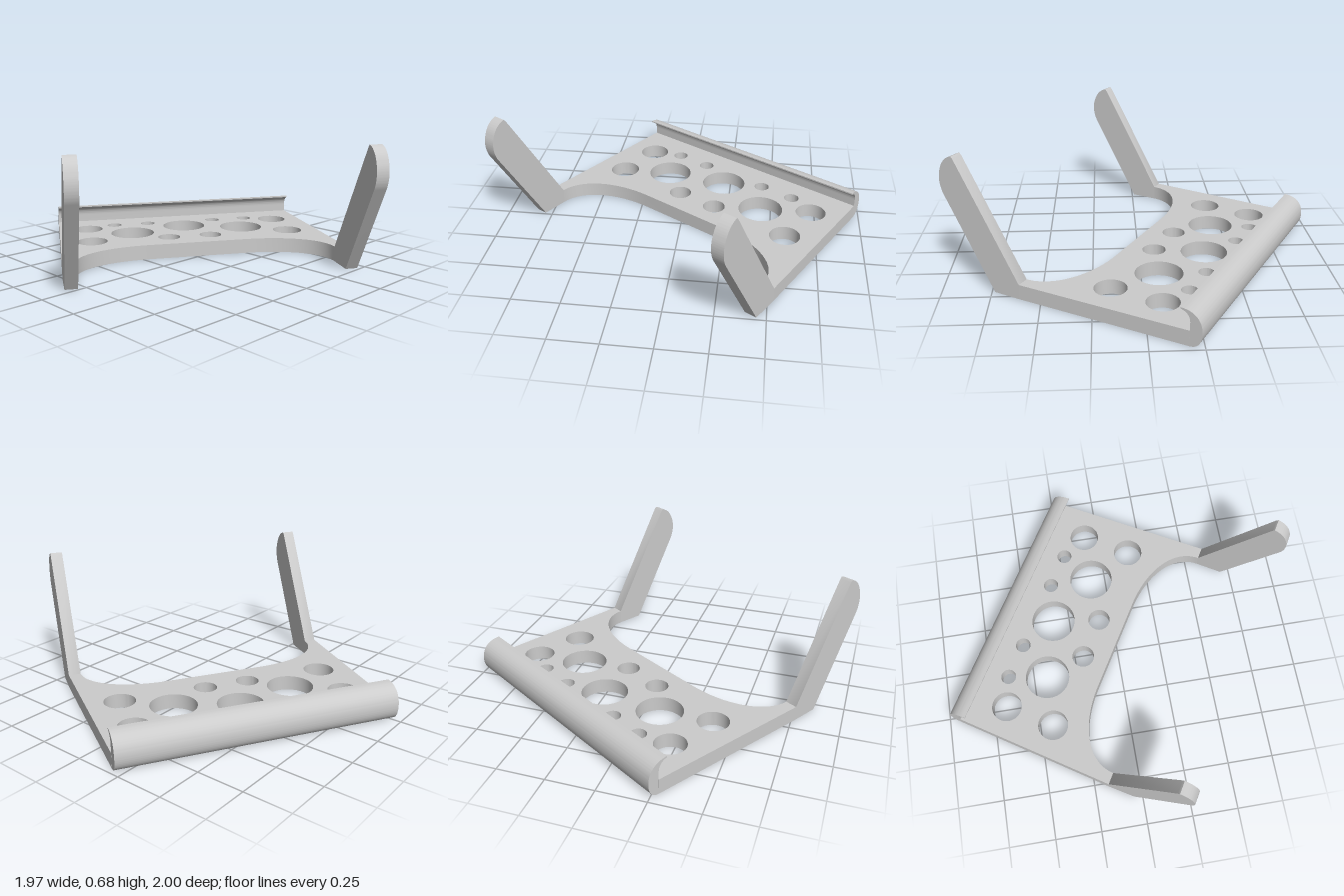
import * as THREE from 'three';
import { toCreasedNormals } from 'three/addons/utils/BufferGeometryUtils.js';

const material = new THREE.MeshStandardMaterial({ color: 0xcccccc });
const THICK = 0.08;     // plate thickness
const BACK = 0.06;      // where the plate meets the lip
const ARM_START = 0.96; // where the plate meets the arms

function extrude(name, shape, depth) {
  const geo = new THREE.ExtrudeGeometry(shape, { depth, bevelEnabled: false, curveSegments: 24 });
  const mesh = new THREE.Mesh(toCreasedNormals(geo, 0.6), material);
  mesh.name = name;
  return mesh;
}

// Flat plate with scooped front edge and round holes
function makePlate() {
  const s = new THREE.Shape();
  s.moveTo(BACK, -0.728);
  s.lineTo(ARM_START, -0.757);
  s.lineTo(ARM_START, -0.692);
  s.bezierCurveTo(0.80, -0.69, 0.70, -0.50, 0.70, -0.27);
  s.lineTo(0.70, 0.27);
  s.bezierCurveTo(0.70, 0.50, 0.80, 0.69, ARM_START, 0.692);
  s.lineTo(ARM_START, 0.757);
  s.lineTo(BACK, 0.728);
  s.closePath();
  // distance from back edge, position along it, radius
  const holes = [[0.311, 0, 0.123], [0.555, 0.104, 0.062], [0.555, -0.137, 0.062]];
  for (const side of [-1, 1]) {
    holes.push(
      [0.414, side * 0.325, 0.123],
      [0.271, side * 0.567, 0.083],
      [0.553, side * 0.569, 0.083],
      [0.208, side * 0.202, 0.042],
      [0.208, side * 0.405, 0.042]
    );
  }
  for (const [x, y, r] of holes) {
    const hole = new THREE.Path();
    hole.absarc(x, y, r, 0, Math.PI * 2, true);
    s.holes.push(hole);
  }
  const plate = extrude('plate', s, THICK);
  plate.rotation.x = -Math.PI / 2;
  return plate;
}

// Curled lip along the back edge
function makeLip() {
  const s = new THREE.Shape();
  s.moveTo(BACK, 0);
  s.bezierCurveTo(0.02, 0, 0, 0.035, 0, 0.08);
  s.bezierCurveTo(0, 0.145, 0.04, 0.185, 0.108, 0.185);
  s.lineTo(0.108, 0.178);
  s.bezierCurveTo(0.08, 0.172, BACK, 0.155, BACK, 0.12);
  s.closePath();
  const lip = extrude('backLip', s, 1.455);
  lip.position.z = -1.455 / 2;
  return lip;
}

// Slanted arm with a rounded tip
function makeArm(side) {
  const s = new THREE.Shape();
  s.moveTo(ARM_START, 0);
  s.lineTo(1.11, 0);
  s.lineTo(1.383, 0.47);
  s.bezierCurveTo(1.41, 0.515, 1.41, 0.57, 1.395, 0.605);
  s.bezierCurveTo(1.38, 0.65, 1.35, 0.675, 1.318, 0.682);
  s.lineTo(1.308, 0.672);
  s.lineTo(ARM_START, THICK);
  s.closePath();
  const arm = extrude(side > 0 ? 'frontArm' : 'rearArm', s, 0.065);
  arm.position.z = side * 0.7245 - 0.0325;
  return arm;
}

export function createModel() {
  const model = new THREE.Group();
  model.name = 'bracket';
  const body = new THREE.Group();
  body.name = 'bracketBody';
  body.add(makePlate(), makeLip(), makeArm(1), makeArm(-1));
  // The bracket sits turned on the ground
  body.rotation.y = THREE.MathUtils.degToRad(-31);
  body.position.set(-0.607, 0, -0.375);
  model.add(body);
  return model;
}
